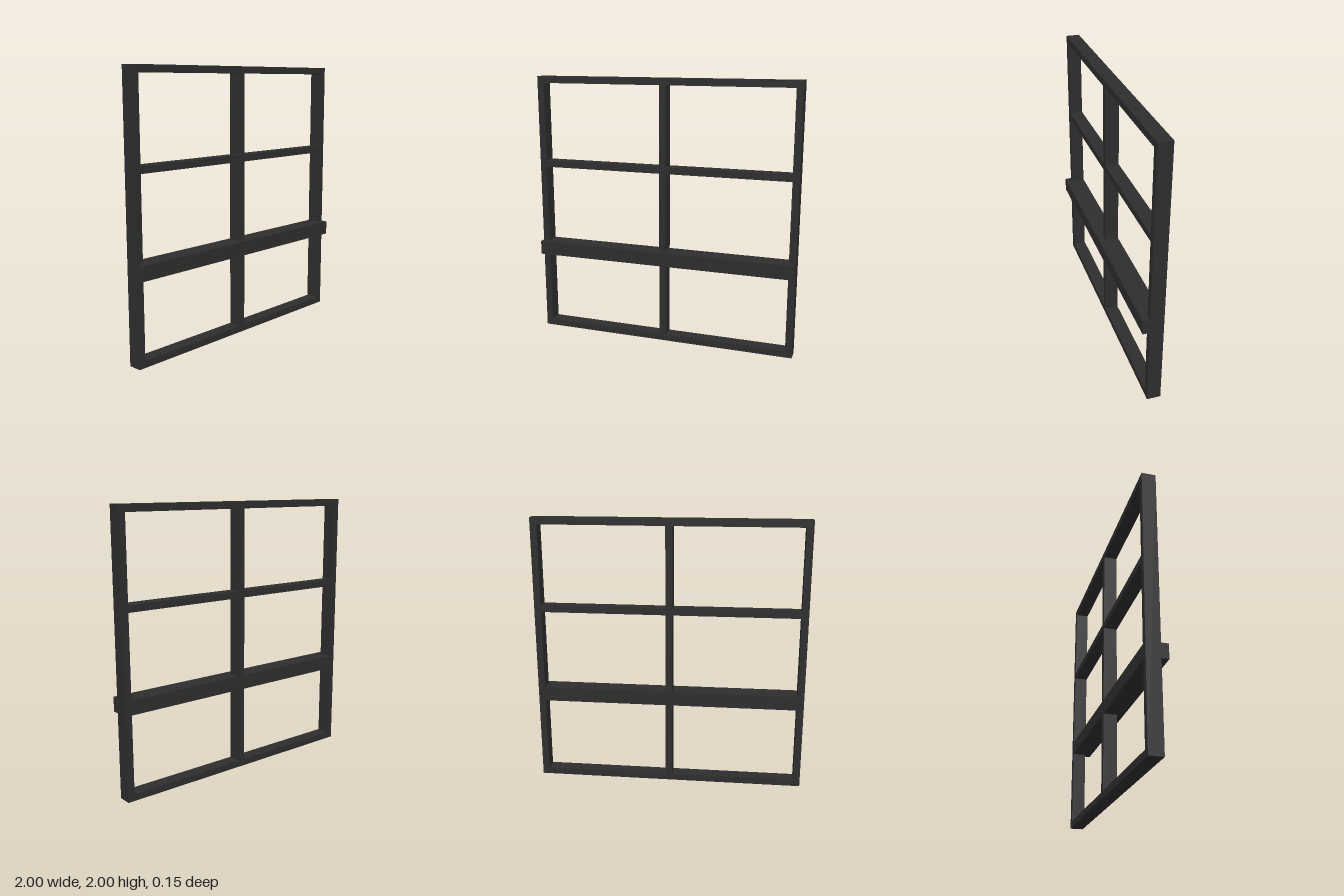
import * as THREE from 'three';

export function createModel() {
  const model = new THREE.Group();
  model.name = 'windowFrame';
  const darkMetal = new THREE.MeshStandardMaterial({ color: 0x2d2d2d });
  darkMetal.name = 'darkMetal';

  const bar = 0.05;
  const back = -0.075, front = 0.025;
  const railBottom = 0.615, railTop = 0.72;

  // Adds a rectangle's corners to a shape or a hole
  const rect = (path, x0, y0, x1, y1) =>
    path.moveTo(x0, y0).lineTo(x1, y0).lineTo(x1, y1).lineTo(x0, y1).closePath();

  // Outer frame, mullion and crossbars, pierced by six openings
  const shape = rect(new THREE.Shape(), -1, 0, 1, 2);
  const rows = [[bar, railBottom], [railTop, 1.31], [1.36, 2 - bar]];
  const columns = [[-1 + bar, -bar / 2], [bar / 2, 1 - bar]];
  for (const [y0, y1] of rows) {
    for (const [x0, x1] of columns) {
      shape.holes.push(rect(new THREE.Path(), x0, y0, x1, y1));
    }
  }
  const lattice = new THREE.Mesh(
    new THREE.ExtrudeGeometry(shape, { depth: front - back, bevelEnabled: false }),
    darkMetal
  );
  lattice.name = 'frameLattice';
  lattice.position.z = back;
  model.add(lattice);

  // Wide rail standing proud of the front
  const rail = new THREE.Mesh(new THREE.BoxGeometry(2, railTop - railBottom, 0.05), darkMetal);
  rail.name = 'frontRail';
  rail.position.set(0, (railTop + railBottom) / 2, front + 0.025);
  model.add(rail);

  return model;
}
